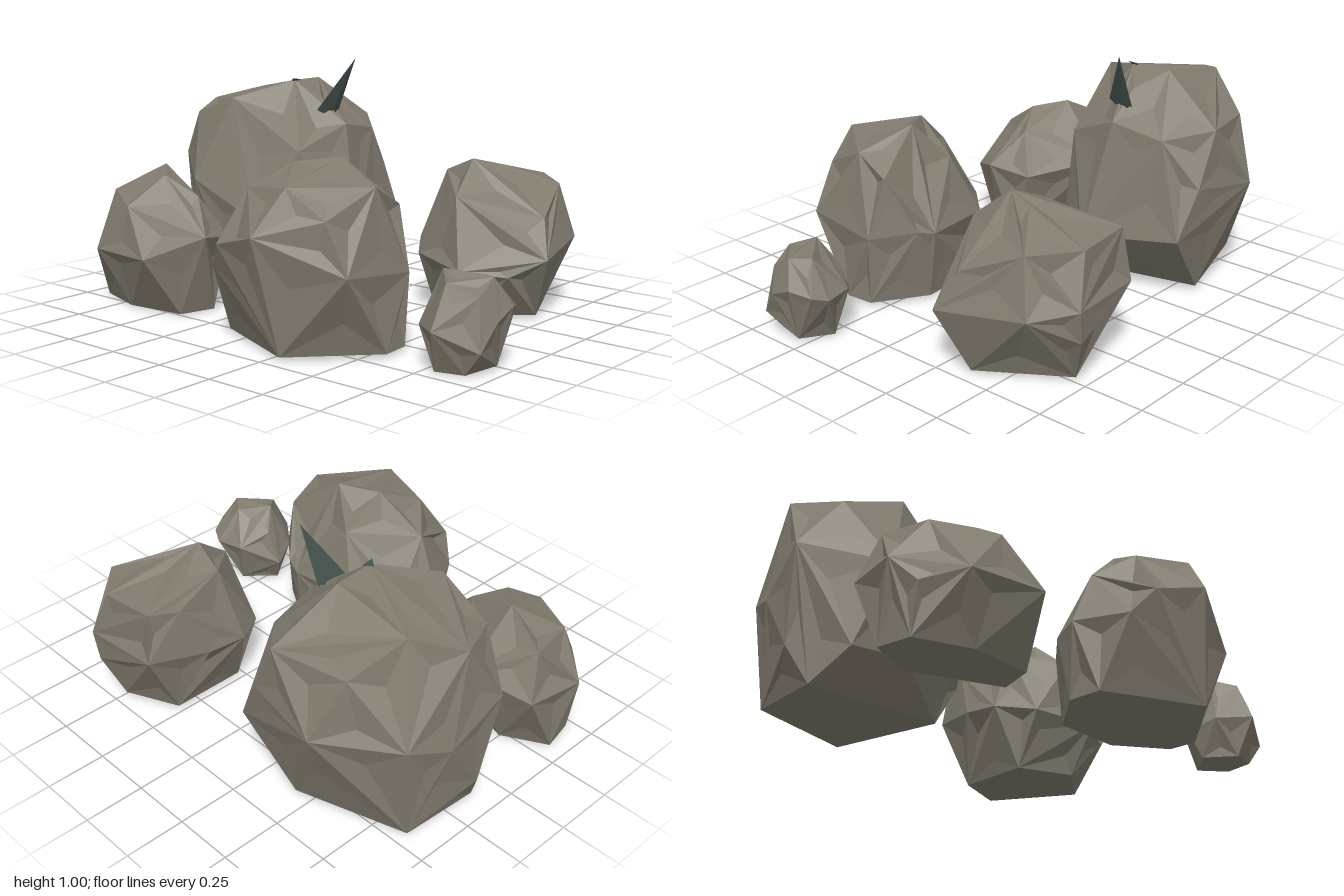
import * as THREE from 'three';
import { ConvexGeometry } from 'three/addons/geometries/ConvexGeometry.js';

const stone = new THREE.MeshStandardMaterial({ color: 0x817b6e });
stone.name = 'warm grey stone';
const slate = new THREE.MeshStandardMaterial({ color: 0x43504b });
slate.name = 'dark slate';

const toVectors = (n) => {
  const out = [];
  for (let i = 0; i < n.length; i += 3) out.push(new THREE.Vector3(n[i], n[i + 1], n[i + 2]));
  return out;
};

// Small seeded generator, so the chipped facets are always the same
function seeded(seed) {
  let s = seed;
  return () => (s = (s * 16807) % 2147483647) / 2147483647;
}

// Hull of the corner points; larger facets get a shallow chipped dent
function rockGeometry(corners, seed, depth) {
  const rnd = seeded(seed);
  for (let i = 0; i < 5; i++) rnd();
  const hull = new ConvexGeometry(toVectors(corners));
  const p = hull.getAttribute('position');
  const tri = new THREE.Triangle();
  const normal = new THREE.Vector3();
  const verts = [];
  const push = (...vs) => vs.forEach((v) => verts.push(v.x, v.y, v.z));
  for (let i = 0; i < p.count; i += 3) {
    tri.setFromAttributeAndIndices(p, i, i + 1, i + 2);
    tri.getNormal(normal);
    const { a, b, c } = tri;
    if (normal.y < -0.5 || tri.getArea() < 0.006) {
      push(a, b, c);
      continue;
    }
    const u = 0.2 + 0.35 * rnd();
    const v = 0.2 + 0.35 * rnd() * (1 - u);
    const m = new THREE.Vector3()
      .addScaledVector(a, u).addScaledVector(b, v).addScaledVector(c, 1 - u - v)
      .addScaledVector(normal, -depth * rnd());
    push(a, b, m, b, c, m, c, a, m);
  }
  const g = new THREE.BufferGeometry();
  g.setAttribute('position', new THREE.Float32BufferAttribute(verts, 3));
  g.computeVertexNormals();
  return g;
}

// Corners of each boulder, listed as base, waist, then shoulder and crown
const boulders = {
  largeBackBoulder: [
    -0.34, 0.005, -0.09, -0.9, 0.02, -0.12, -0.88, 0.02, -0.45, -0.43, 0.02, -0.59,
    -1, 0.55, -0.11, -0.97, 0.17, -0.18, -0.97, 0.4, -0.33, -0.91, 0.45, -0.5, -0.62, 0.45, -0.705,
    -0.3, 0.5, -0.67, -0.2, 0.3, -0.645, -0.11, 0.25, -0.24, -0.26, 0.3, -0.04, -0.42, 0.32, 0.06,
    -0.72, 0.48, 0.12, -0.6, 0.15, 0.06, -0.82, 0.15, 0.02,
    -0.95, 0.79, -0.25, -0.8, 0.84, -0.4, -0.6, 0.83, 0, -0.45, 0.9, -0.23, -0.46, 0.9, -0.4,
    -0.36, 0.83, -0.3, -0.22, 0.72, -0.3, -0.28, 0.62, -0.06, -0.4, 0.72, -0.67, -0.7, 0.7, -0.59,
    -0.25, 0.68, -0.52, -0.85, 0.75, -0.04,
  ],
  backRightBoulder: [
    0.27, 0.02, -0.28, 0.5, 0.02, -0.2, 0.7, 0.02, -0.38, 0.49, 0.02, -0.7, 0.27, 0.02, -0.6,
    0.17, 0.28, -0.32, 0.17, 0.3, -0.5, 0.24, 0.33, -0.75, 0.57, 0.33, -0.78, 0.55, 0.2, -0.77,
    0.71, 0.3, -0.65, 0.8, 0.27, -0.29, 0.52, 0.22, -0.09, 0.27, 0.25, -0.17, 0.68, 0.2, -0.2,
    0.22, 0.52, -0.6, 0.26, 0.54, -0.72, 0.5, 0.53, -0.74, 0.66, 0.52, -0.6, 0.74, 0.42, -0.36,
    0.42, 0.63, -0.33, 0.46, 0.6, -0.45, 0.28, 0.57, -0.35, 0.45, 0.5, -0.17,
  ],
  frontRightwardBoulder: [
    -0.93, 0.01, 0.32, -0.9, 0.01, 0.46, -0.68, 0.01, 0.53, -0.42, 0.01, 0.5, -0.38, 0.01, 0.35, -0.75, 0.01, 0.22,
    -0.97, 0.3, 0.41, -0.93, 0.3, 0.17, -0.66, 0.34, 0.1, -0.37, 0.3, 0.27, -0.32, 0.33, 0.45,
    -0.47, 0.25, 0.65, -0.78, 0.25, 0.62, -0.91, 0.2, 0.5,
    -0.88, 0.48, 0.25, -0.84, 0.47, 0.46, -0.69, 0.575, 0.31, -0.58, 0.55, 0.42, -0.45, 0.47, 0.36, -0.62, 0.44, 0.59,
  ],
  frontCentreBoulder: [
    -0.11, 0.02, 0.4, -0.1, 0.02, 0.54, 0.3, 0.02, 0.7, 0.57, 0.02, 0.42, 0.56, 0.02, 0.3, 0.35, 0.02, 0.17, 0.05, 0.02, 0.2,
    -0.16, 0.3, 0.47, -0.06, 0.3, 0.67, 0.02, 0.4, 0.73, 0.24, 0.46, 0.78, 0.55, 0.33, 0.62, 0.57, 0.3, 0.29,
    0.42, 0.32, 0.16, 0.35, 0.3, 0.135, 0.05, 0.3, 0.17, -0.09, 0.3, 0.32,
    -0.06, 0.52, 0.48, 0.06, 0.6, 0.6, 0.13, 0.68, 0.42, 0.28, 0.7, 0.32, 0.5, 0.62, 0.4, 0.3, 0.63, 0.66,
    0.45, 0.52, 0.62, 0.15, 0.55, 0.24, 0.5, 0.54, 0.26,
  ],
  smallBoulder: [
    0.71, 0.01, 0.34, 0.8, 0.01, 0.45, 0.91, 0.01, 0.42, 0.95, 0.02, 0.28, 0.82, 0.01, 0.22,
    0.66, 0.12, 0.31, 0.71, 0.16, 0.42, 0.83, 0.17, 0.515, 0.98, 0.1, 0.43, 1, 0.24, 0.26, 1, 0.2, 0.36,
    0.96, 0.22, 0.18, 0.9, 0.2, 0.15, 0.78, 0.2, 0.18,
    0.72, 0.26, 0.3, 0.77, 0.36, 0.36, 0.95, 0.345, 0.31, 0.88, 0.335, 0.26, 0.84, 0.33, 0.44, 0.95, 0.29, 0.4,
  ],
};

// Thin splinters standing on the largest boulder
const splinters = {
  tallSplinter: [-0.2, 1, -0.34, -0.3, 0.76, -0.34, -0.3, 0.75, -0.28, -0.31, 0.78, -0.215, -0.292, 0.765, -0.3],
  flatSplinter: [-0.44, 0.908, -0.21, -0.47, 0.897, -0.23, -0.44, 0.902, -0.26, -0.46, 0.885, -0.23],
};

export function createModel() {
  const model = new THREE.Group();
  model.name = 'boulderCluster';
  const add = (name, geometry, material) => {
    const mesh = new THREE.Mesh(geometry, material);
    mesh.name = name;
    model.add(mesh);
  };
  Object.entries(boulders).forEach(([name, corners], i) => {
    add(name, rockGeometry(corners, 977 + i * 131, name === 'smallBoulder' ? 0.012 : 0.028), stone);
  });
  for (const [name, corners] of Object.entries(splinters)) {
    add(name, new ConvexGeometry(toVectors(corners)), slate);
  }
  return model;
}
